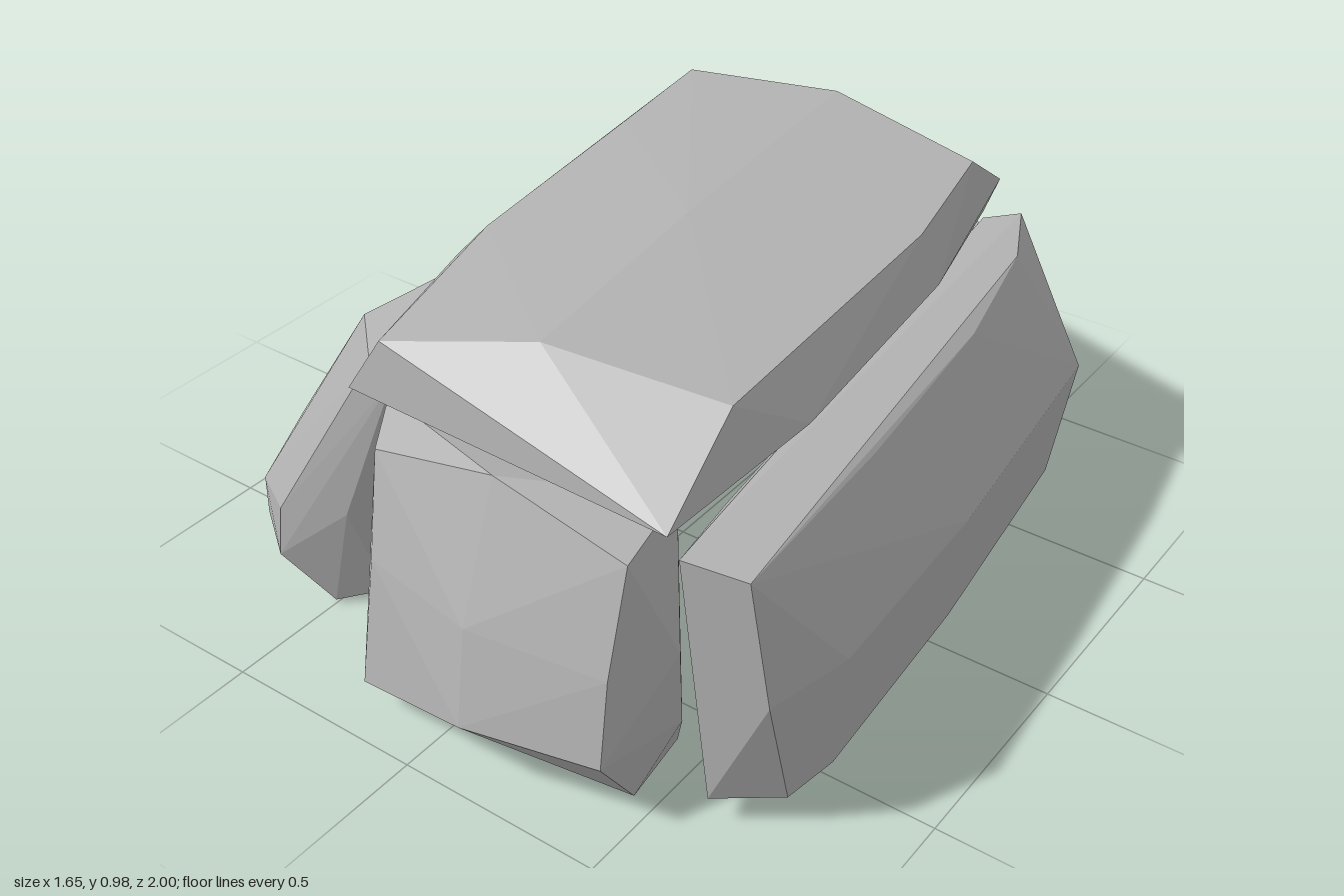
import * as THREE from 'three';
import { ConvexGeometry } from 'three/addons/geometries/ConvexGeometry.js';

const rock = new THREE.MeshStandardMaterial({ color: 0xb2b2b2 });
rock.name = 'grey rock';

// A faceted boulder: the hull around rings of corner points [x, y, z]
function stone(name, ...rings) {
  const points = rings.flat().map((p) => new THREE.Vector3(...p));
  const mesh = new THREE.Mesh(new ConvexGeometry(points), rock);
  mesh.name = name;
  return mesh;
}

export function createModel() {
  const group = new THREE.Group();
  group.name = 'stone dolmen';

  // Flat slab lying on the uprights
  group.add(stone('capstone',
    // upper face
    [[-0.17, 0.9, 0.8], [0.15, 0.955, 0.68], [0.55, 0.92, 0.6], [0.52, 0.94, -0.15], [0.45, 0.95, -0.5],
      [0.01, 0.96, -0.62], [-0.38, 0.935, -0.56], [-0.33, 0.94, -0.22], [-0.27, 0.93, 0.35], [0.1, 0.98, 0.12]],
    // widest edge
    [[-0.26, 0.76, 0.81], [0.16, 0.77, 0.83], [0.58, 0.78, 0.85], [0.6, 0.79, 0.4], [0.56, 0.82, -0.17],
      [0.43, 0.82, -0.69], [0, 0.83, -0.81], [-0.41, 0.8, -0.72], [-0.46, 0.8, -0.22], [-0.41, 0.79, 0.3]],
    // underside
    [[-0.28, 0.68, 0.7], [0.5, 0.69, 0.7], [0.47, 0.71, 0], [0.4, 0.73, -0.68], [-0.35, 0.73, -0.6], [-0.36, 0.71, 0]],
  ));

  // Long wall slab on the left
  group.add(stone('leftWallStone',
    // top
    [[0.6, 0.73, 0.84], [0.745, 0.73, 0.82], [0.7, 0.71, 0.31], [0.64, 0.71, -0.2], [0.57, 0.73, -0.53],
      [0.48, 0.73, -0.72], [0.4, 0.71, -0.68], [0.54, 0.69, 0.6]],
    // middle
    [[0.65, 0.42, 0.8], [0.775, 0.42, 0.79], [0.82, 0.42, 0.58], [0.79, 0.42, 0.05], [0.7, 0.41, -0.66],
      [0.54, 0.41, -0.835], [0.46, 0.43, -0.66], [0.52, 0.43, 0.5]],
    // base
    [[0.62, 0.08, 0.77], [0.755, 0.09, 0.68], [0.78, 0.1, 0.55], [0.74, 0.1, 0], [0.66, 0.1, -0.63],
      [0.57, 0.09, -0.77], [0.5, 0.11, -0.6], [0.49, 0.11, 0.5], [0.64, 0.04, 0.7], [0.63, 0.035, 0.23], [0.58, 0.04, -0.25]],
  ));

  // Upright closing the front
  group.add(stone('frontStone',
    // top
    [[-0.18, 0.65, 0.83], [0.15, 0.73, 0.84], [0.48, 0.66, 0.84], [0.45, 0.69, 0.64], [-0.26, 0.68, 0.7]],
    // middle
    [[-0.15, 0.42, 0.9], [0.15, 0.42, 0.955], [0.48, 0.42, 0.91], [0.53, 0.4, 0.74], [-0.27, 0.4, 0.7]],
    // base
    [[-0.18, 0.09, 0.93], [0.16, 0.195, 1], [0.48, 0.21, 0.94], [0.47, 0.04, 0.82], [-0.19, 0.03, 0.82],
      [-0.2, 0.04, 0.65], [0.45, 0.05, 0.64], [0.52, 0.2, 0.72], [-0.27, 0.25, 0.7]],
  ));

  // Upright closing the back
  group.add(stone('backStone',
    // top
    [[-0.3, 0.66, -0.74], [0, 0.72, -0.74], [0.4, 0.68, -0.7], [0.38, 0.66, -0.5], [-0.28, 0.66, -0.55]],
    // middle
    [[-0.33, 0.4, -0.86], [0, 0.42, -0.9], [0.32, 0.4, -0.87], [0.42, 0.4, -0.73], [-0.32, 0.38, -0.62]],
    // base
    [[-0.34, 0.2, -0.94], [0, 0.2, -1], [0.3, 0.2, -0.97], [0.42, 0.2, -0.85], [0.3, 0.1, -0.95],
      [0.39, 0.05, -0.86], [-0.34, 0.04, -0.87], [0.36, 0.04, -0.69], [-0.33, 0.05, -0.66]],
  ));

  // Two leaning props on the right
  group.add(stone('frontRightProp',
    // top
    [[-0.52, 0.69, 0.5], [-0.34, 0.72, 0.67], [-0.29, 0.68, 0.66], [-0.2, 0.68, 0.54], [-0.25, 0.71, 0.36],
      [-0.42, 0.75, 0.31], [-0.53, 0.66, 0.34]],
    // middle
    [[-0.73, 0.25, 0.67], [-0.57, 0.29, 0.77], [-0.42, 0.3, 0.71], [-0.74, 0.35, 0.52], [-0.65, 0.4, 0.38], [-0.4, 0.25, 0.42]],
    // base
    [[-0.83, 0.11, 0.53], [-0.72, 0.16, 0.68], [-0.58, 0.16, 0.78], [-0.74, 0.02, 0.52], [-0.5, 0.01, 0.7],
      [-0.41, 0.03, 0.62], [-0.48, 0.02, 0.39], [-0.73, 0.12, 0.4]],
  ));
  group.add(stone('backRightProp',
    // top
    [[-0.46, 0.73, -0.52], [-0.4, 0.7, -0.72], [-0.25, 0.7, -0.65], [-0.25, 0.7, -0.33], [-0.45, 0.73, -0.31]],
    // middle
    [[-0.67, 0.36, -0.6], [-0.55, 0.34, -0.81], [-0.42, 0.35, -0.76], [-0.57, 0.36, -0.4], [-0.4, 0.3, -0.4]],
    // base
    [[-0.77, 0.14, -0.64], [-0.67, 0.1, -0.79], [-0.58, 0.08, -0.85], [-0.65, 0.03, -0.44], [-0.72, 0.03, -0.58],
      [-0.5, 0, -0.74], [-0.42, 0.03, -0.6], [-0.5, 0.03, -0.45]],
  ));

  return group;
}
